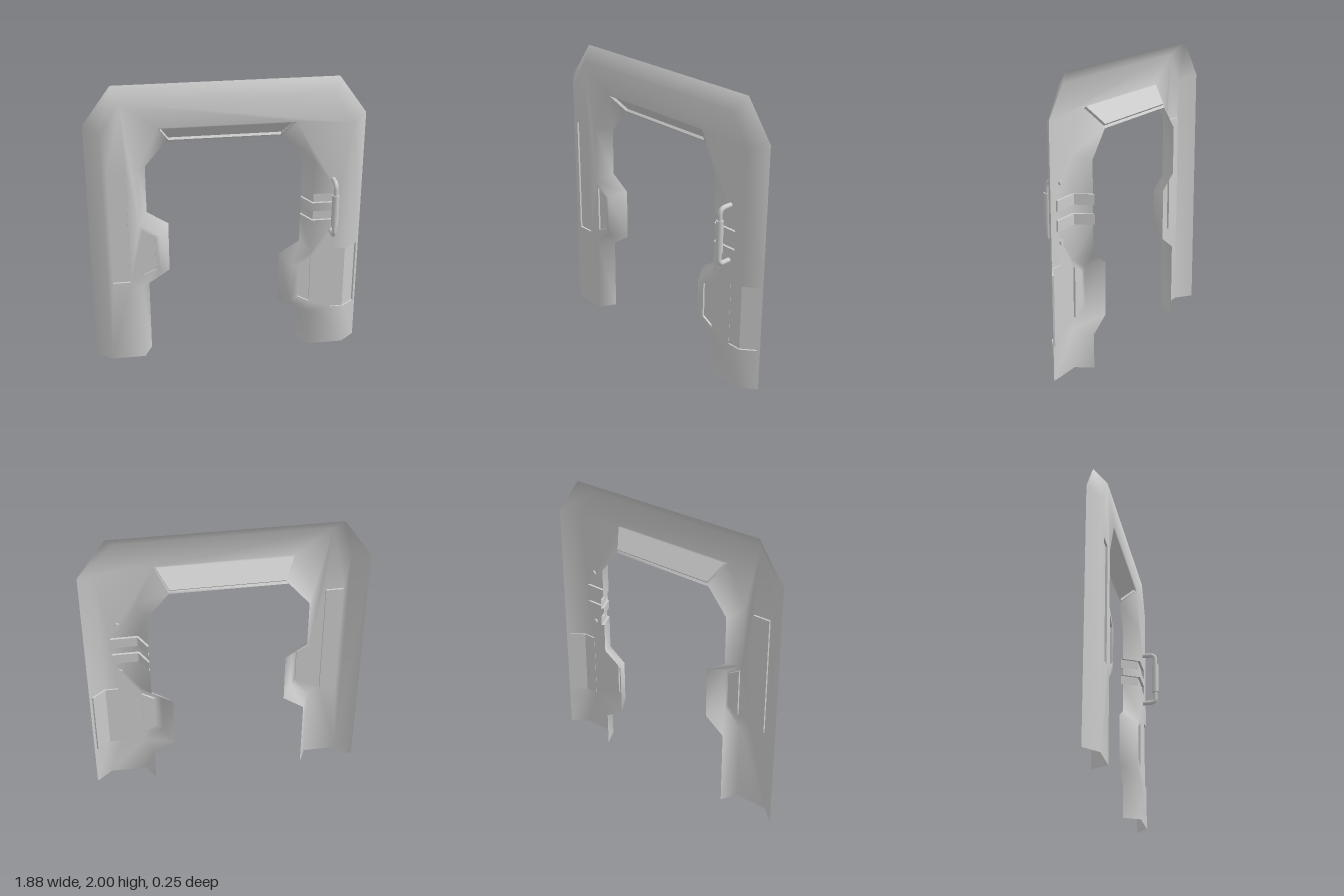
import * as THREE from 'three';
import { mergeVertices } from 'three/addons/utils/BufferGeometryUtils.js';

const Z_FRONT = 0.01, Z_OUTER = -0.077, Z_INNER = -0.106;
const mat = new THREE.MeshStandardMaterial({ color: 0xcccccc, side: THREE.DoubleSide });
const lift = (pts, z) => pts.map(([x, y]) => [x, y, z]);
const add = (p, o) => p.map((v, i) => v + o[i]);

// Triangulate a polygon (with holes) in plan, keeping each corner's depth.
function pushFace(out, outline, holes = []) {
  const v2 = (l) => l.map(([x, y]) => new THREE.Vector2(x, y));
  const all = [outline, ...holes].flat();
  for (const [a, b, c] of THREE.ShapeUtils.triangulateShape(v2(outline), holes.map(v2))) {
    const [p, q, r] = [all[a], all[b], all[c]];
    const area = (q[0] - p[0]) * (r[1] - p[1]) - (q[1] - p[1]) * (r[0] - p[0]);
    out.push(...p, ...(area > 0 ? [...q, ...r] : [...r, ...q]));
  }
}

function toMesh(name, positions, smooth) {
  let geo = new THREE.BufferGeometry();
  geo.setAttribute('position', new THREE.Float32BufferAttribute(positions, 3));
  if (smooth) geo = mergeVertices(geo, 1e-4);
  geo.computeVertexNormals();
  const mesh = new THREE.Mesh(geo, mat);
  mesh.name = name;
  return mesh;
}

// Sunken panel: a floor between two rim rows, pushed back, plus its side walls.
function recess(name, rowA, rowB, offset, openEnd = false) {
  const out = [];
  const quad = (a, b, c, d) => out.push(...a, ...b, ...c, ...a, ...c, ...d);
  const a = rowA.map((p) => add(p, offset)), b = rowB.map((p) => add(p, offset));
  for (let i = 0; i < a.length - 1; i++) quad(a[i], a[i + 1], b[i + 1], b[i]);
  const rim = [...rowA, ...[...rowB].reverse()];
  rim.forEach((p, i) => {
    if (openEnd && i === rowA.length - 1) return;
    const q = rim[(i + 1) % rim.length];
    quad(p, q, add(q, offset), add(p, offset));
  });
  return toMesh(name, out, false);
}

export function createModel() {
  const model = new THREE.Group();

  // Outer edge and the fold where its bevel meets the front face
  const outer = lift([[-0.94, 0], [-0.94, 1.74], [-0.75, 2], [0.75, 2], [0.94, 1.74],
    [0.94, 0.77], [0.94, 0.3], [0.94, 0]], Z_OUTER);
  const outerFold = lift([[-0.835, 0], [-0.835, 1.7], [-0.7, 1.91], [0.7, 1.91], [0.835, 1.7],
    [0.835, 0.77], [0.835, 0.3], [0.835, 0]], Z_FRONT);

  // Edge of the opening with its two pods, and the matching fold
  const bands = [1.2, 1.13, 1.07, 1.0];
  const inner = lift([[-0.545, 0], [-0.545, 0.53], [-0.4, 0.63], [-0.4, 0.99], [-0.545, 1.085],
    [-0.545, 1.42], [-0.4, 1.59], [0.375, 1.59], [0.52, 1.42], ...bands.map((y) => [0.52, y]),
    [0.52, 0.79], [0.375, 0.7], [0.375, 0.33], [0.52, 0.24], [0.52, 0]], Z_INNER);
  const innerFold = lift([[-0.6, 0], [-0.6, 0.56], [-0.47, 0.665], [-0.47, 0.955], [-0.6, 1.045],
    [-0.6, 1.45], [-0.46, 1.73], [0.455, 1.73], [0.58, 1.45], ...bands.map((y) => [0.58, y]),
    [0.58, 0.755], [0.445, 0.665], [0.445, 0.365], [0.58, 0.275], [0.58, 0]], Z_FRONT);

  // Panel corners, each as a lower row and an upper row
  const longPanel = [lift([[-0.8, 0.61], [-0.68, 0.61]], Z_FRONT), lift([[-0.8, 1.44], [-0.68, 1.44]], Z_FRONT)];
  const podRight = [lift([[-0.585, 0.66], [-0.5, 0.7]], Z_FRONT), lift([[-0.585, 1.0], [-0.5, 0.95]], Z_FRONT)];
  const podLeft = [lift([[0.495, 0.405], [0.58, 0.36]], Z_FRONT), lift([[0.495, 0.655], [0.58, 0.705]], Z_FRONT)];
  const bevelZ = (y) => Z_INNER + (Z_FRONT - Z_INNER) * (y - 1.59) / 0.14;
  const lintelPanel = [lift([[-0.385, 1.605], [0.37, 1.605]], bevelZ(1.605)),
    lift([[-0.45, 1.72], [0.445, 1.72]], bevelZ(1.72))];
  const sideRow = (y) => [[0.74, y, Z_FRONT], [0.835, y, Z_FRONT], [0.922, y, -0.062]];
  const loop = ([a, b]) => [...a, ...[...b].reverse()];

  // Frame shell: front face with cut-outs
  const shell = [];
  const frontOut = outerFold.flatMap((p, i) =>
    i === 5 ? [p, sideRow(0.77)[0]] : i === 6 ? [sideRow(0.3)[0], p] : [p]);
  const frontIn = innerFold.flatMap((p, i) => {
    const k = i - 9, notch = [0.76, p[1], Z_FRONT];
    return k < 0 || k > 3 ? [p] : k % 2 === 0 ? [p, notch] : [notch, p];
  });
  pushFace(shell, [...frontOut, ...frontIn.reverse()], [longPanel, podRight, podLeft].map(loop));

  // Outer bevel, narrowed to a lip beside the wrapped side panel
  for (let i = 0; i < outer.length - 1; i++) {
    const a = i === 5 ? sideRow(0.77)[2] : outerFold[i];
    const b = i === 5 ? sideRow(0.3)[2] : outerFold[i + 1];
    pushFace(shell, [outer[i], outer[i + 1], b, a]);
  }

  // Inner bevel, open at the two bands and around the lintel panel
  for (let i = 0; i < inner.length - 1; i++) {
    if (i === 9 || i === 11) continue;
    pushFace(shell, [inner[i], inner[i + 1], innerFold[i + 1], innerFold[i]],
      i === 6 ? [loop(lintelPanel)] : []);
  }
  model.add(toMesh('frameShell', shell, true));

  // Sunken panels
  model.add(recess('longPanel', ...longPanel, [0, 0, -0.014]));
  model.add(recess('rightPodPanel', ...podRight, [0, 0, -0.014]));
  model.add(recess('leftPodPanel', ...podLeft, [0, 0, -0.014]));
  model.add(recess('lintelPanel', ...lintelPanel, [0, 0.013, -0.014]));
  model.add(recess('sidePanel', sideRow(0.3), sideRow(0.77), [-0.008, 0, -0.01]));

  // Two grooves wrapping round to the opening
  const bandRow = (y) => [[0.76, y, Z_FRONT], [0.58, y, Z_FRONT], [0.52, y, Z_INNER]];
  for (const i of [0, 2]) {
    model.add(recess('bandGroove', bandRow(bands[i]), bandRow(bands[i + 1]), [0.008, 0, -0.018], true));
  }

  // Pull handle: bent rod with a thicker grip
  const handle = new THREE.Group();
  handle.name = 'handle';
  const v = (y, z) => new THREE.Vector3(0, y, z);
  const rod = new THREE.CurvePath();
  const zBar = 0.103, r = 0.04, zEnd = -0.003, top = 1.303, low = 0.918;
  rod.add(new THREE.LineCurve3(v(low, zEnd), v(low, zBar - r)));
  rod.add(new THREE.QuadraticBezierCurve3(v(low, zBar - r), v(low, zBar), v(low + r, zBar)));
  rod.add(new THREE.LineCurve3(v(low + r, zBar), v(top - r, zBar)));
  rod.add(new THREE.QuadraticBezierCurve3(v(top - r, zBar), v(top, zBar), v(top, zBar - r)));
  rod.add(new THREE.LineCurve3(v(top, zBar - r), v(top, zEnd)));
  const rodMesh = new THREE.Mesh(new THREE.TubeGeometry(rod, 80, 0.016, 16), mat);
  rodMesh.name = 'handleRod';
  const grip = new THREE.Mesh(new THREE.CylinderGeometry(0.024, 0.024, 0.225, 20), mat);
  grip.name = 'handleGrip';
  grip.position.set(0, 1.112, zBar);
  handle.add(rodMesh, grip);
  for (const y of [low, top]) {
    const cap = new THREE.Mesh(new THREE.CircleGeometry(0.016, 16), mat);
    cap.name = 'handleEnd';
    cap.position.set(0, y, zEnd);
    cap.rotation.y = Math.PI;
    handle.add(cap);
  }
  handle.position.x = 0.715;
  model.add(handle);
  return model;
}
